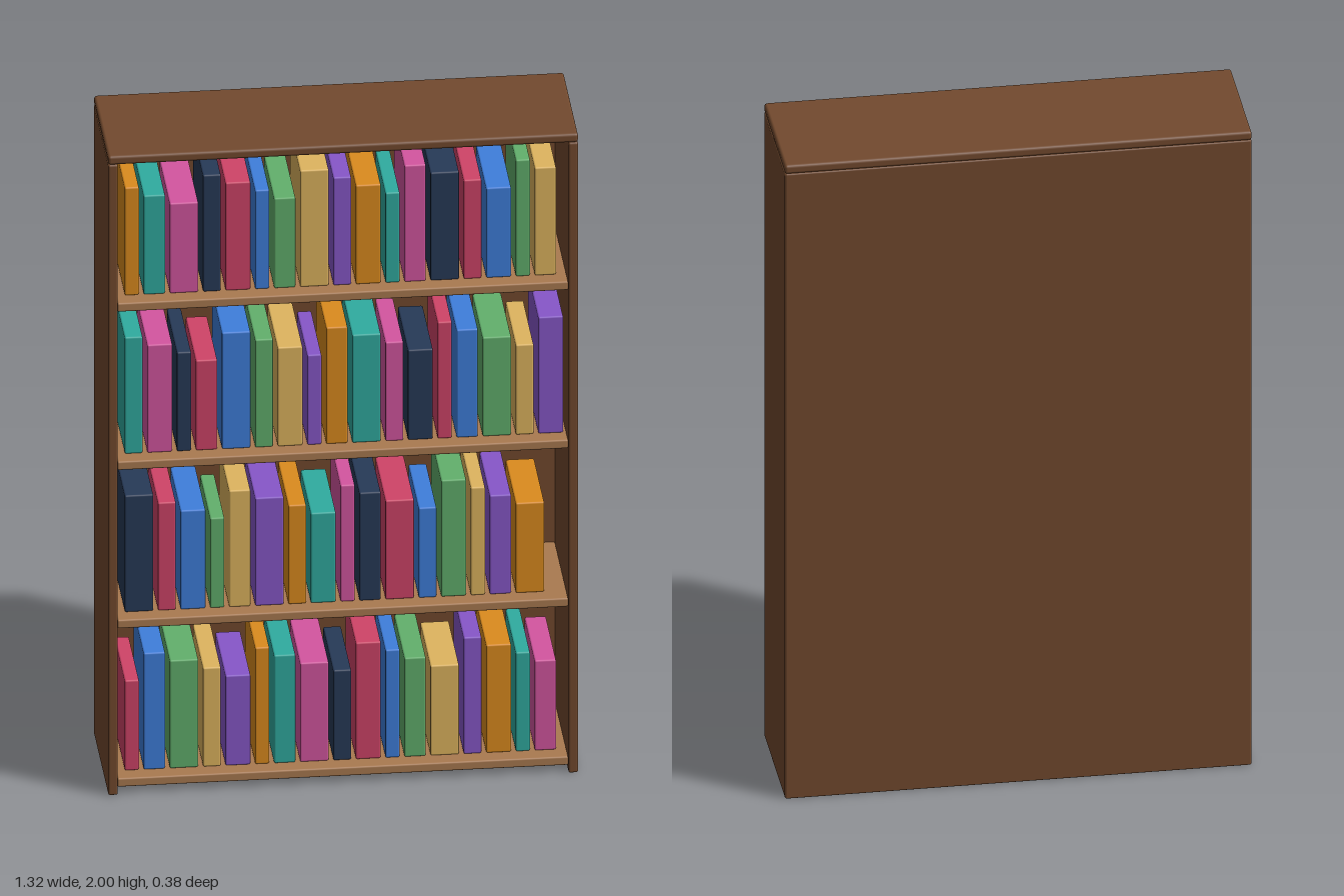
import * as THREE from 'three';
import { RoundedBoxGeometry } from 'three/addons/geometries/RoundedBoxGeometry.js';

const material = (color) => new THREE.MeshStandardMaterial({ color });

// Softly rounded box given by its centre x and z, and its base height
function block(name, w, h, d, x, base, z, mat, radius) {
  const mesh = new THREE.Mesh(new RoundedBoxGeometry(w, h, d, 2, radius), mat);
  mesh.name = name;
  mesh.position.set(x, base + h / 2, z);
  return mesh;
}

export function createModel() {
  const model = new THREE.Group();
  model.name = 'bookcase';

  const wood = material(0x734a2e);
  const shelfWood = material(0xaa7a50);
  const W = 1.316, H = 2, D = 0.38, T = 0.027;

  // Carcass: two sides, top and back panel
  for (const [name, s] of [['leftSide', 1], ['rightSide', -1]]) {
    model.add(block(name, T, H - T, D, s * (W - T) / 2, 0, 0, wood, 0.006));
  }
  model.add(block('topPanel', W, T, D, 0, H - T, 0, wood, 0.008));
  model.add(block('backPanel', W - 0.004, H - T, 0.02, 0, 0, -D / 2 + 0.01, wood, 0.004));

  // Book sizes and colours repeat in cycles that run on from row to row
  const widths = [0.04, 0.06, 0.08, 0.05, 0.07];
  const heights = [0.282, 0.365, 0.338, 0.31];
  const colors = [0xd04468, 0x3f7fdc, 0x62b06c, 0xdfb55f, 0x8757c9,
    0xdc8c1e, 0x30aca0, 0xd456a0, 0x273a58].map(material);
  const booksPerRow = [17, 16, 17, 17];
  const gap = 0.013, bookDepth = 0.27;
  let n = 0;

  booksPerRow.forEach((count, row) => {
    const shelfTop = 0.047 + row * 0.4957;
    model.add(block('shelf', W - 2 * T, T, 0.35, 0, shelfTop - T, 0.005, shelfWood, 0.005));

    const books = new THREE.Group();
    books.name = 'bookRow';
    let x = -0.606;
    for (let i = 0; i < count; i++, n++) {
      const w = widths[n % widths.length];
      books.add(block('book', w, heights[n % heights.length], bookDepth,
        x + w / 2, shelfTop, 0, colors[n % colors.length], 0.005));
      x += w + gap;
    }
    model.add(books);
  });

  return model;
}
